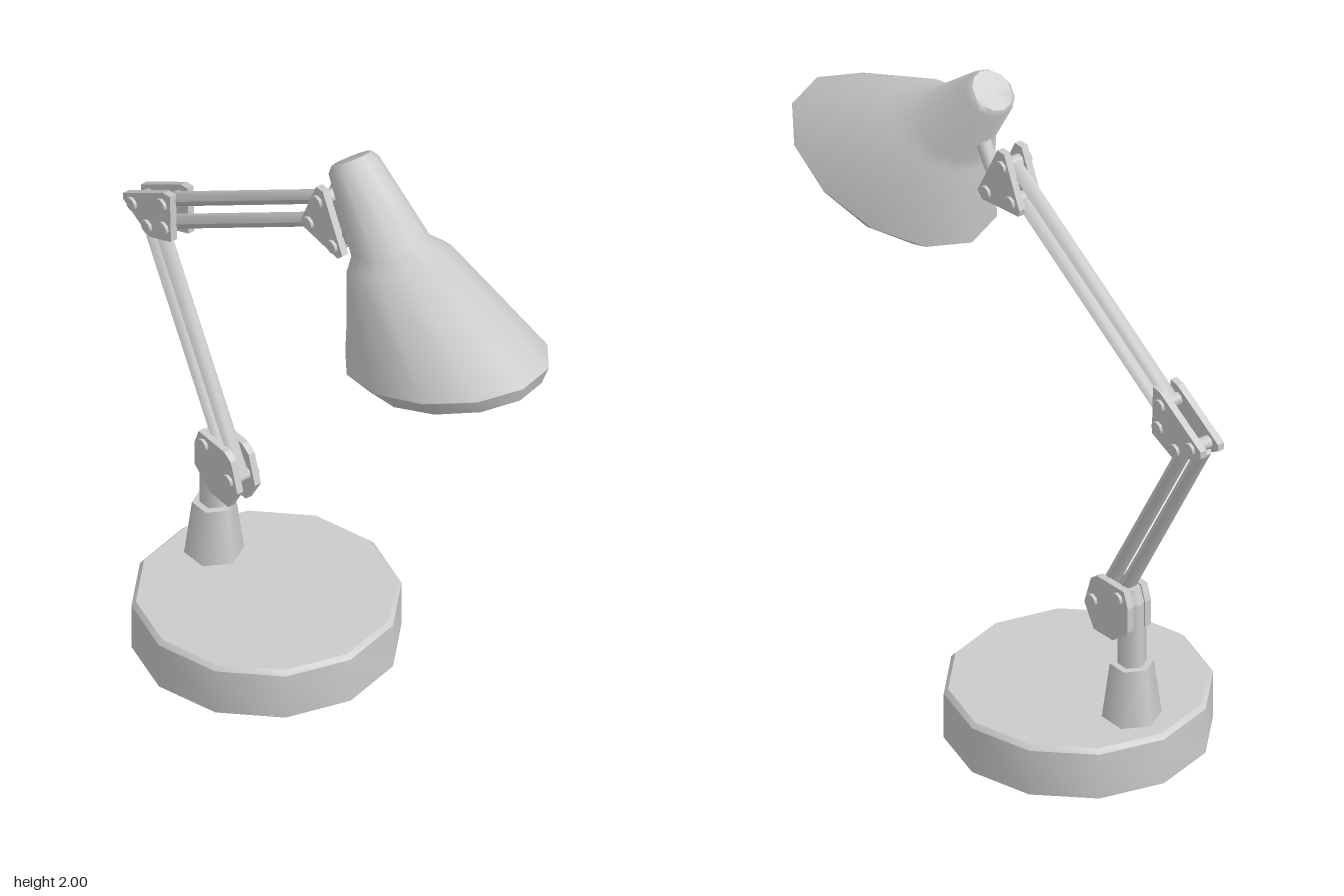
import * as THREE from 'three';
import { toCreasedNormals } from 'three/addons/utils/BufferGeometryUtils.js';

const grey = new THREE.MeshStandardMaterial({ color: 0xcccccc });
const greyDouble = new THREE.MeshStandardMaterial({ color: 0xcccccc, side: THREE.DoubleSide });

function add(parent, name, geometry, material = grey) {
  const mesh = new THREE.Mesh(geometry, material);
  mesh.name = name;
  parent.add(mesh);
  return mesh;
}

// Six-sided rod in the plane x = 0, between two [z, y] points
function rod(parent, name, a, b, width = 0.025, depth = 0.018) {
  const p = new THREE.Vector3(0, a[1], a[0]);
  const q = new THREE.Vector3(0, b[1], b[0]);
  const g = new THREE.CylinderGeometry(1, 1, p.distanceTo(q), 6);
  g.rotateY(Math.PI / 2); // corners point sideways
  g.scale(width, 1, depth / Math.cos(Math.PI / 6));
  const mesh = add(parent, name, toCreasedNormals(g, 1.2));
  mesh.position.copy(p).add(q).multiplyScalar(0.5);
  mesh.quaternion.setFromUnitVectors(new THREE.Vector3(0, 1, 0), q.sub(p).normalize());
}

// A mirrored pair of side plates with through bolts; outline and bolts are [z, y]
function joint(parent, name, outline, bolts) {
  const group = new THREE.Group();
  group.name = name;
  const shape = new THREE.Shape(outline.map(([z, y]) => new THREE.Vector2(z, y)));
  for (const x of [0.043, -0.021]) {
    const g = new THREE.ExtrudeGeometry(shape, { depth: 0.022, bevelEnabled: false });
    g.rotateY(-Math.PI / 2).translate(x, 0, 0);
    add(group, 'sidePlate', g);
  }
  for (const [z, y] of bolts) {
    const g = new THREE.CylinderGeometry(0.021, 0.021, 0.106, 8);
    g.rotateZ(Math.PI / 2).translate(0, y, z);
    add(group, 'bolt', toCreasedNormals(g, 0.9));
  }
  parent.add(group);
}

// Skin over 12-sided rings: [centre z, centre y, half width, half depth z, half depth y]
function skin(rings, sides = 12) {
  const pos = [];
  const point = (i, k) => {
    const [cz, cy, r, hz, hy] = rings[i];
    const a = (k / sides) * Math.PI * 2;
    return [r * Math.sin(a), cy + hy * Math.cos(a), cz + hz * Math.cos(a)];
  };
  for (let i = 0; i < rings.length - 1; i++) {
    for (let k = 0; k < sides; k++) {
      const a = point(i, k), b = point(i, k + 1), c = point(i + 1, k), d = point(i + 1, k + 1);
      pos.push(...a, ...c, ...d);
      if (rings[i][2] > 0) pos.push(...a, ...d, ...b);
    }
  }
  const g = new THREE.BufferGeometry();
  g.setAttribute('position', new THREE.Float32BufferAttribute(pos, 3));
  return toCreasedNormals(g, 0.85);
}

export function createModel() {
  const model = new THREE.Group();
  model.name = 'deskLamp';

  // Hollow base, open underneath
  const profile = [[0.39, 0], [0.39, 0.148], [0.377, 0.162], [0, 0.164]].map(([r, y]) => new THREE.Vector2(r, y));
  const base = add(model, 'base', toCreasedNormals(new THREE.LatheGeometry(profile, 12), 0.6), greyDouble);
  base.position.z = -0.29;

  // Tapered socket and swivel post
  add(model, 'socket', new THREE.CylinderGeometry(0.064, 0.087, 0.18, 6)).position.set(0, 0.25, -0.533);
  add(model, 'post', new THREE.CylinderGeometry(0.042, 0.042, 0.22, 6)).position.set(0, 0.44, -0.533);
  add(model, 'postTop', new THREE.CylinderGeometry(0.026, 0.042, 0.045, 6)).position.set(0, 0.5725, -0.533);

  // Lower and upper pairs of parallel rods
  rod(model, 'lowerArmFrontRod', [-0.407, 0.51], [-0.789, 1.2]);
  rod(model, 'lowerArmBackRod', [-0.481, 0.53], [-0.863, 1.22]);
  rod(model, 'upperArmTopRod', [0.002, 1.762], [-0.73, 1.308]);
  rod(model, 'upperArmBottomRod', [-0.025, 1.664], [-0.72, 1.233]);
  rod(model, 'headStub', [0.07, 1.65], [0.19, 1.84], 0.025, 0.022);

  // Hinge brackets
  joint(model, 'baseJoint',
    [[-0.40, 0.575], [-0.43, 0.595], [-0.55, 0.6], [-0.568, 0.55], [-0.568, 0.47], [-0.5, 0.412], [-0.413, 0.408], [-0.37, 0.48]],
    [[-0.41, 0.505], [-0.525, 0.565]]);
  joint(model, 'elbowJoint',
    [[-0.683, 1.363], [-0.715, 1.358], [-0.9, 1.247], [-0.9, 1.225], [-0.779, 1.162], [-0.678, 1.204]],
    [[-0.717, 1.315], [-0.708, 1.237], [-0.785, 1.198], [-0.855, 1.237]]);
  joint(model, 'headJoint',
    [[0.026, 1.812], [-0.005, 1.812], [-0.074, 1.655], [-0.069, 1.634], [0.095, 1.613], [0.117, 1.634]],
    [[0.005, 1.765], [-0.035, 1.665], [0.075, 1.647]]);

  // Shade: rounded cap, flared neck, bell and turned-in oblique rim
  add(model, 'shade', skin([
    [0.103, 1.96, 0, 0, 0],
    [0.103, 1.96, 0.06, 0.052, 0.04],
    [0.114, 1.945, 0.076, 0.064, 0.044],
    [0.285, 1.757, 0.112, 0.115, 0.057],
    [0.323, 1.732, 0.15, 0.153, 0.072],
    [0.548, 1.504, 0.262, 0.352, 0.106],
    [0.585, 1.46, 0.222, 0.3, 0.1],
  ]), greyDouble);

  // Bulb and its holder inside the shade
  add(model, 'bulb', new THREE.SphereGeometry(0.085, 12, 8)).position.set(0, 1.57, 0.43);
  rod(model, 'bulbHolder', [0.41, 1.6], [0.25, 1.8], 0.045, 0.04);

  return model;
}
